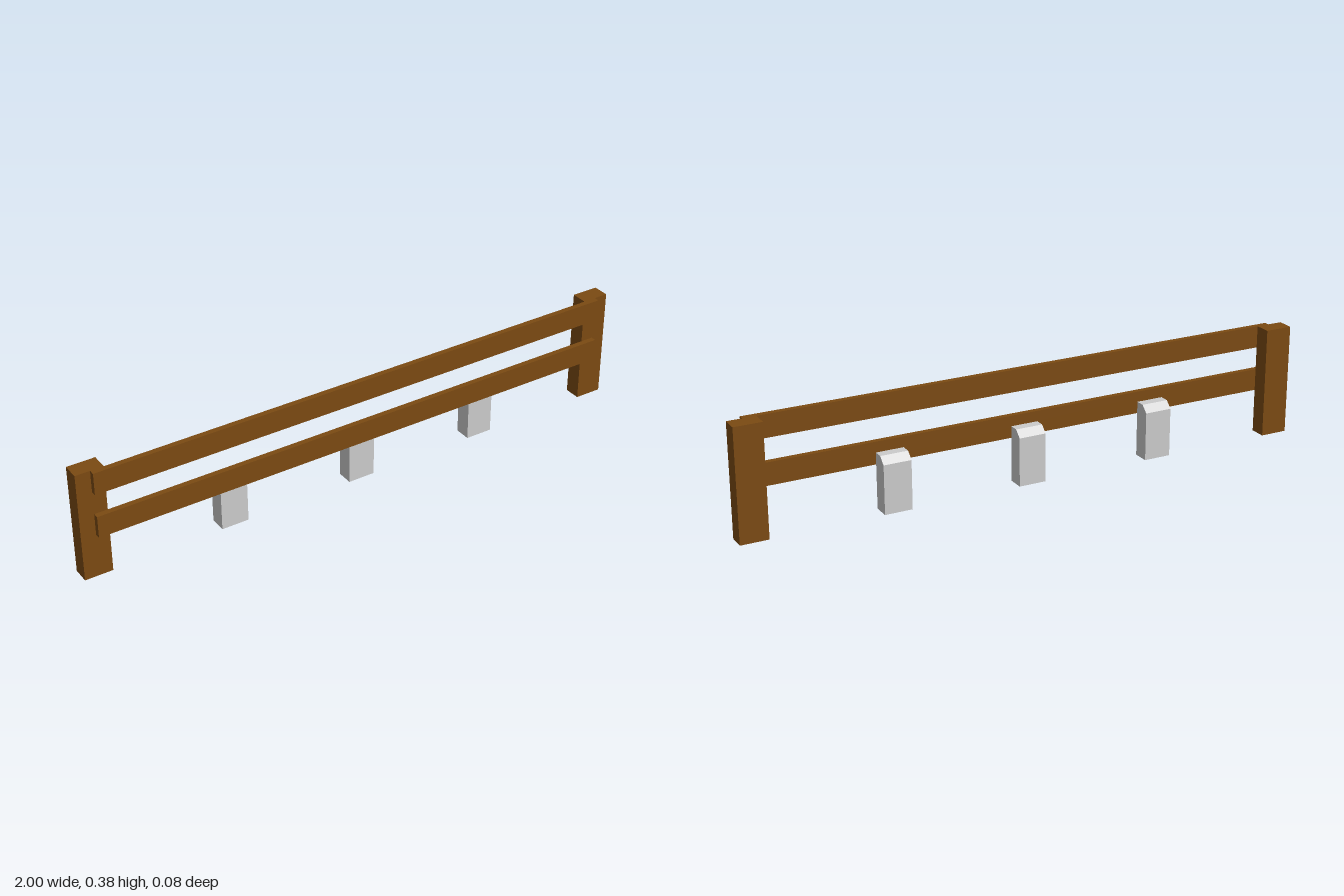
import * as THREE from 'three';

const wood = new THREE.MeshStandardMaterial({ color: 0x7b4a12, flatShading: true });
const stone = new THREE.MeshStandardMaterial({ color: 0xcccccc, flatShading: true });

const BACK = -0.038, MID = 0.019, FRONT = 0.038; // depth planes
const POST_WIDTH = 0.095;

export function createModel() {
  const group = new THREE.Group();

  const add = (name, geometry, material, x = 0, y = 0, z = 0) => {
    const mesh = new THREE.Mesh(geometry, material);
    mesh.name = name;
    mesh.position.set(x, y, z);
    group.add(mesh);
  };

  // Tall end posts
  const postHeight = 0.381;
  const postGeometry = new THREE.BoxGeometry(POST_WIDTH, postHeight, MID - BACK);
  for (const [name, side] of [['leftEndPost', 1], ['rightEndPost', -1]]) {
    add(name, postGeometry, wood, side * (1 - POST_WIDTH / 2), postHeight / 2, (BACK + MID) / 2);
  }

  // Horizontal rails across the front of the posts
  const railGeometry = new THREE.BoxGeometry(1.9, 0.076, FRONT - MID);
  add('upperRail', railGeometry, wood, 0, 0.343, (MID + FRONT) / 2);
  add('lowerRail', railGeometry, wood, 0, 0.188, (MID + FRONT) / 2);

  // Short posts with a bevelled back top edge: side profile extruded along x
  const profile = new THREE.Shape([
    [-MID, 0], [-BACK, 0], [-BACK, 0.167], [0.014, 0.19], [-MID, 0.19],
  ].map(([z, y]) => new THREE.Vector2(z, y)));
  const shortPost = new THREE.ExtrudeGeometry(profile, { depth: POST_WIDTH, bevelEnabled: false });
  shortPost.translate(0, 0, -POST_WIDTH / 2).rotateY(Math.PI / 2); // profile x becomes -z
  for (const [name, x] of [['rightShortPost', -0.476], ['middleShortPost', 0], ['leftShortPost', 0.476]]) {
    add(name, shortPost, stone, x);
  }

  return group;
}
